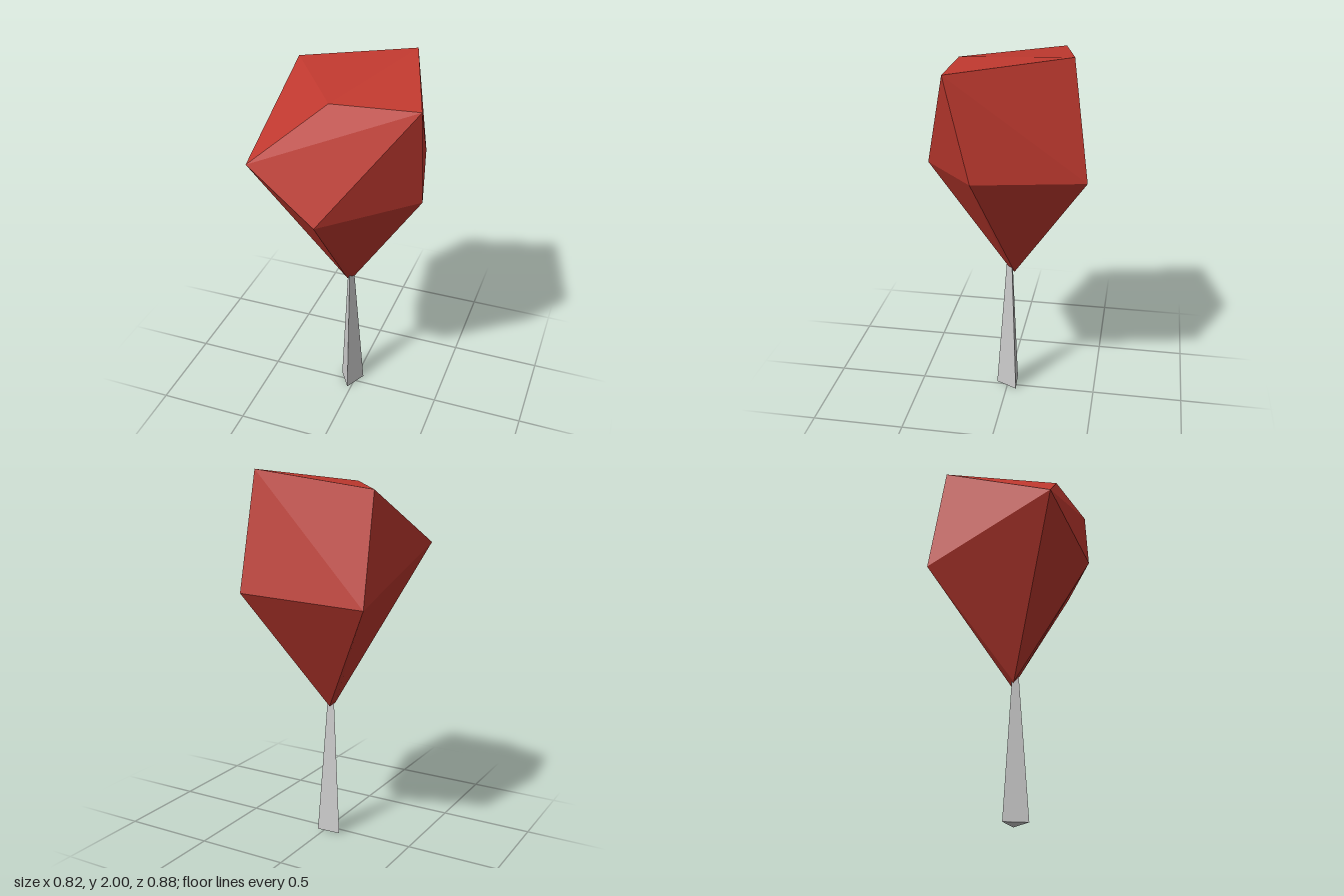
import * as THREE from 'three';
import { ConvexGeometry } from 'three/addons/geometries/ConvexGeometry.js';

export function createModel() {
  const tree = new THREE.Group();
  tree.name = 'tree';

  // Faceted crown: irregular top, a wide belt, and a small tilted foot on the trunk
  const top = [[0.215, 2, -0.355], [0.41, 1.94, 0.24], [-0.035, 1.92, 0.255], [-0.395, 1.915, -0.255]];
  const belt = [[-0.415, 1.6, 0.39], [-0.05, 1.34, 0.44], [0.4, 1.4, 0.12], [0.26, 1.39, -0.44], [-0.395, 1.35, -0.355]];
  const foot = [[-0.045, 0.745, -0.01], [-0.012, 0.78, 0.005], [-0.025, 0.73, -0.035]];
  const points = [...top, ...belt, ...foot].map((p) => new THREE.Vector3(...p));
  const crown = new THREE.Mesh(
    new ConvexGeometry(points),
    new THREE.MeshStandardMaterial({ color: 0xc0392f, flatShading: true })
  );
  crown.name = 'crown';
  tree.add(crown);

  // Three-sided tapering trunk
  const height = 0.8;
  const trunk = new THREE.Mesh(
    new THREE.CylinderGeometry(0.019, 0.077, height, 3),
    new THREE.MeshStandardMaterial({ color: 0xcccccc, flatShading: true })
  );
  trunk.name = 'trunk';
  trunk.position.set(-0.025, height / 2, -0.012);
  trunk.rotation.y = 0.06;
  tree.add(trunk);

  return tree;
}
